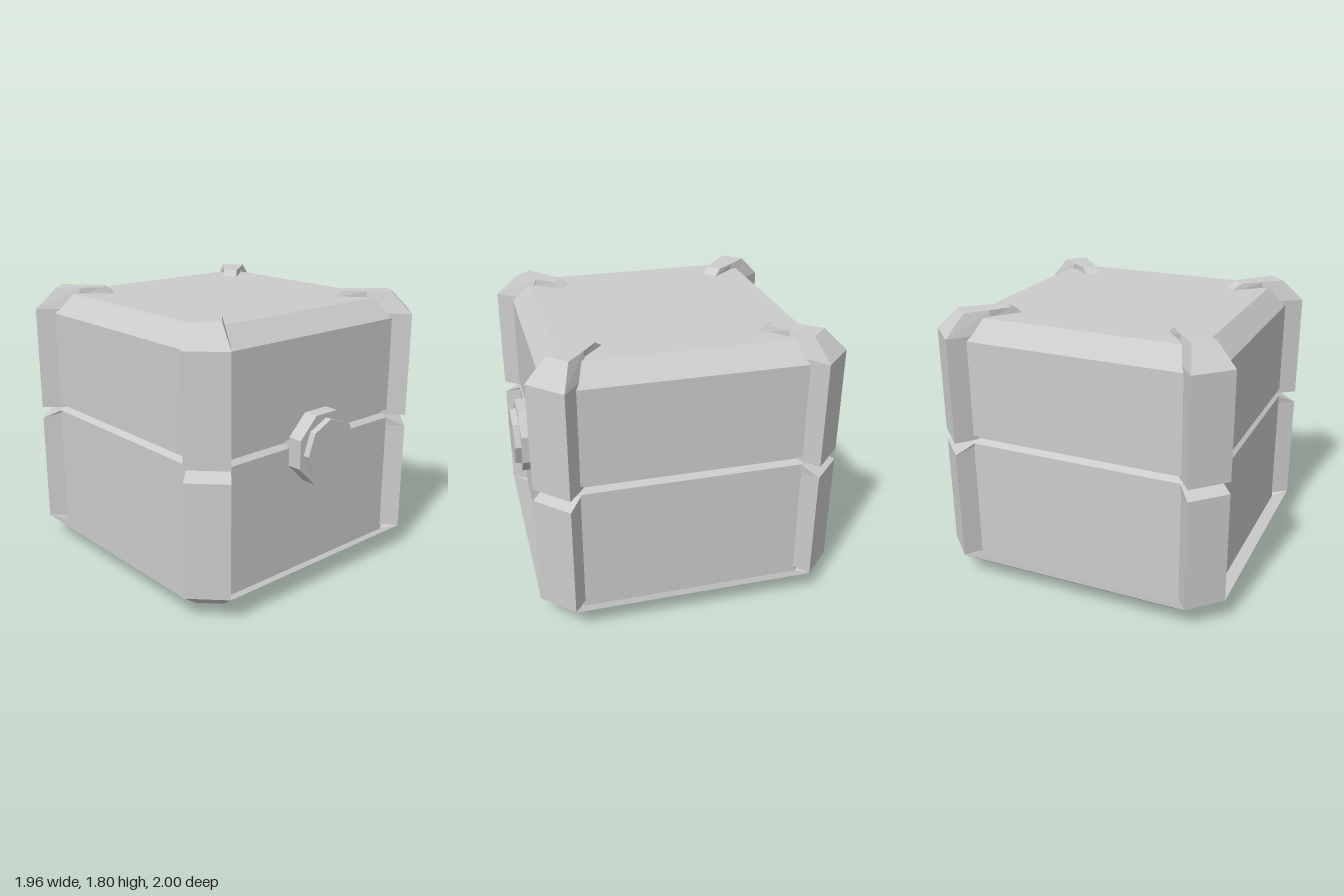
import * as THREE from 'three';

const material = new THREE.MeshStandardMaterial({ color: 0xcccccc, flatShading: true });

// Closed solid from rings of [x, y, z] corners, listed bottom to top, anticlockwise from above
function loft(name, rings) {
  const n = rings[0].length, last = rings.length - 1, index = [];
  for (let i = 0; i < last; i++) {
    for (let j = 0; j < n; j++) {
      const a = i * n + j, b = i * n + (j + 1) % n;
      index.push(a, b, b + n, a, b + n, a + n);
    }
  }
  for (let j = 1; j < n - 1; j++) {
    index.push(0, j + 1, j, last * n, last * n + j, last * n + j + 1);
  }
  const geometry = new THREE.BufferGeometry();
  geometry.setAttribute('position', new THREE.Float32BufferAttribute(rings.flat(2), 3));
  geometry.setIndex(index);
  const flat = geometry.toNonIndexed();
  flat.computeVertexNormals();
  const mesh = new THREE.Mesh(flat, material);
  mesh.name = name;
  return mesh;
}

// Square of half width h with cut corners; c is the half length of each straight side
const octagon = ([y, h, c]) => [
  [-c, y, h], [c, y, h], [h, y, c], [h, y, -c],
  [c, y, -h], [-c, y, -h], [-h, y, -c], [-h, y, c],
];

// Post section facing +z: outer distance and half width, inner distance and half width
const section = ([y, dOut, wOut, dIn, wIn]) => [
  [-wOut, y, dOut], [wOut, y, dOut], [wIn, y, dIn], [-wIn, y, dIn],
];

function knobDisc(name, radius, z0, z1, turn) {
  const geometry = new THREE.CylinderGeometry(radius, radius, z1 - z0, 8);
  geometry.rotateY(turn).rotateX(Math.PI / 2);
  const mesh = new THREE.Mesh(geometry, material);
  mesh.name = name;
  mesh.position.set(0, 0.935, (z0 + z1) / 2);
  return mesh;
}

export function createModel() {
  const model = new THREE.Group();
  model.name = 'crate';

  const box = new THREE.Group();
  box.name = 'box';
  box.position.z = -0.02;
  model.add(box);

  // Flared base with a rim that dips towards the walls
  box.add(loft('base', [
    [0, 0.77, 0.66], [0.05, 0.84, 0.72], [0.16, 0.98, 0.785], [0.12, 0.88, 0.72],
  ].map(octagon)));

  // Walls and lid with the seam groove and chamfered top
  box.add(loft('body', [
    [0.1, 0.88, 0.72], [0.955, 0.88, 0.72], [0.985, 0.85, 0.7], [0.998, 0.85, 0.7],
    [1.012, 0.88, 0.72], [1.64, 0.88, 0.72], [1.765, 0.765, 0.67],
  ].map(octagon)));

  // Corner posts, split at the seam, with an arm reaching over the lid
  for (let k = 0; k < 4; k++) {
    const corner = new THREE.Group();
    corner.name = 'cornerPost';
    corner.rotation.y = Math.PI / 4 + k * Math.PI / 2;
    corner.add(
      loft('lowerPost', [
        [0.16, 1.248, 0.138, 1.0, 0.105], [0.9, 1.248, 0.138, 1.0, 0.105],
        [0.978, 1.07, 0.125, 1.0, 0.105],
      ].map(section)),
      loft('upperPost', [
        [0.98, 1.248, 0.138, 0.98, 0.105], [1.67, 1.248, 0.138, 0.98, 0.108],
        [1.805, 1.117, 0.078, 0.95, 0.065],
      ].map(section)),
      loft('lidArm', [
        [1.75, 0.96, 0.066, 0.72, 0.048], [1.805, 0.96, 0.066, 0.81, 0.048],
      ].map(section)),
    );
    box.add(corner);
  }

  // Front latch
  model.add(
    knobDisc('latchPlate', 0.2435, 0.82, 0.957, Math.PI / 8),
    knobDisc('latchKnob', 0.197, 0.94, 1.0, 0.04),
  );
  return model;
}
